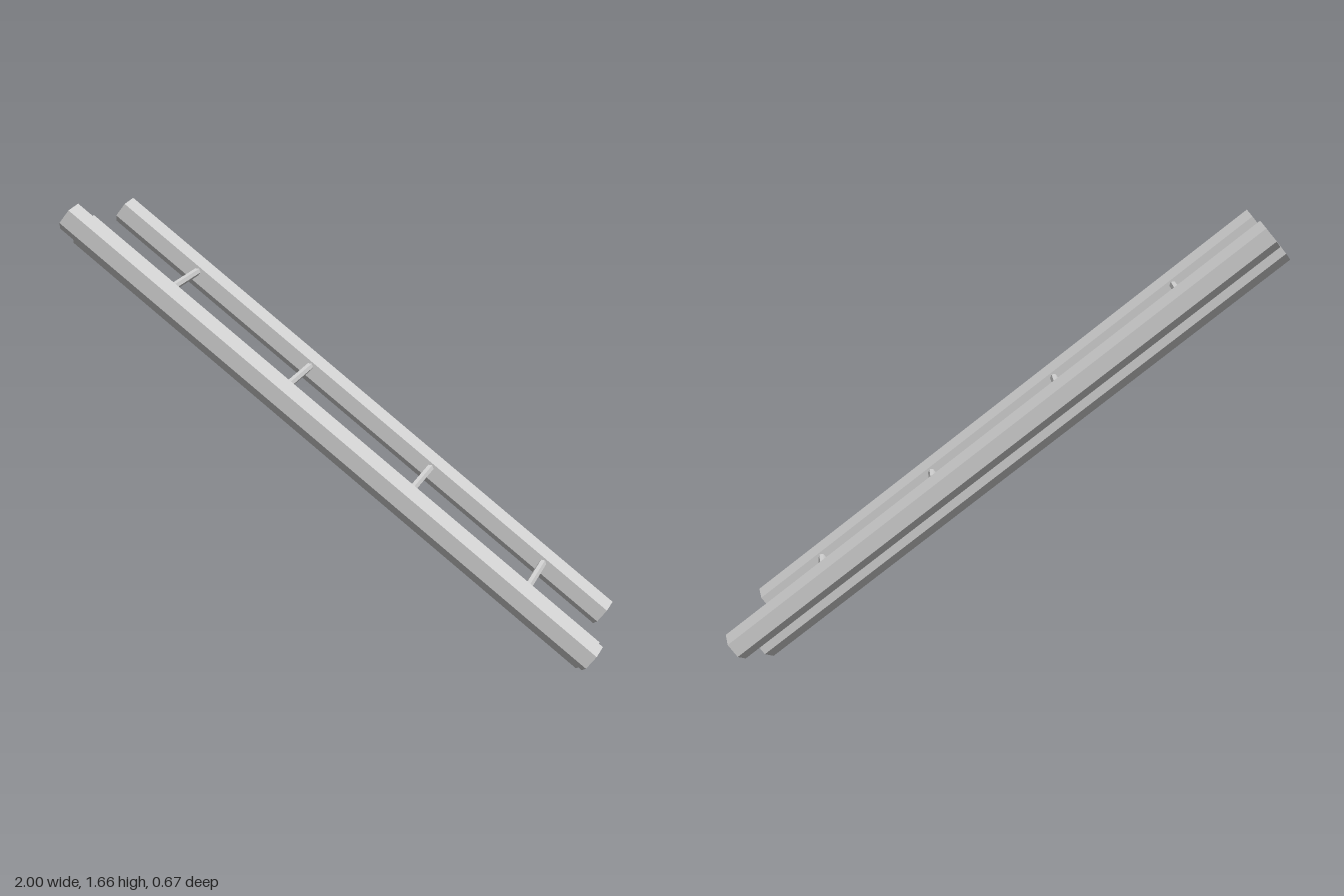
import * as THREE from 'three';

const material = new THREE.MeshStandardMaterial({ color: 0xcccccc, flatShading: true });

// Six-sided rail lying along x, with a ridge on top and flats facing the sides
function rail(name, radius, length, x, y, z) {
  const geometry = new THREE.CylinderGeometry(radius, radius, length, 6);
  geometry.rotateY(Math.PI / 6).rotateZ(Math.PI / 2);
  const mesh = new THREE.Mesh(geometry, material);
  mesh.name = name;
  mesh.position.set(x, y, z);
  return mesh;
}

// Thin six-sided bar between two points
function rung(name, from, to) {
  const along = to.clone().sub(from);
  const mesh = new THREE.Mesh(new THREE.CylinderGeometry(0.0145, 0.0145, along.length(), 6), material);
  mesh.name = name;
  mesh.position.copy(from).lerp(to, 0.5);
  mesh.quaternion.setFromUnitVectors(new THREE.Vector3(0, 1, 0), along.normalize());
  return mesh;
}

export function createModel() {
  const model = new THREE.Group();
  model.name = 'leaningLadder';

  // Everything is laid out flat along x, then tilted down towards +x
  const ladder = new THREE.Group();
  ladder.name = 'ladder';
  ladder.position.set(-0.0165, 0.805, 0);
  ladder.rotation.z = -Math.atan2(1.507, 1.885);
  model.add(ladder);

  ladder.add(rail('centreRail', 0.066, 2.414, 0, 0, 0));

  for (const side of [1, -1]) {
    const label = side > 0 ? 'front' : 'back';
    ladder.add(rail(label + 'Rail', 0.056, 2.383, -0.008, 0.084, side * 0.287));

    // Rungs rise from the centre rail to the raised outer rail
    [-0.82, -0.258, 0.337, 0.888].forEach((x, i) => {
      ladder.add(rung(label + 'Rung' + (i + 1),
        new THREE.Vector3(x, 0.032, side * 0.03),
        new THREE.Vector3(x, 0.103, side * 0.28)));
    });
  }
  return model;
}
